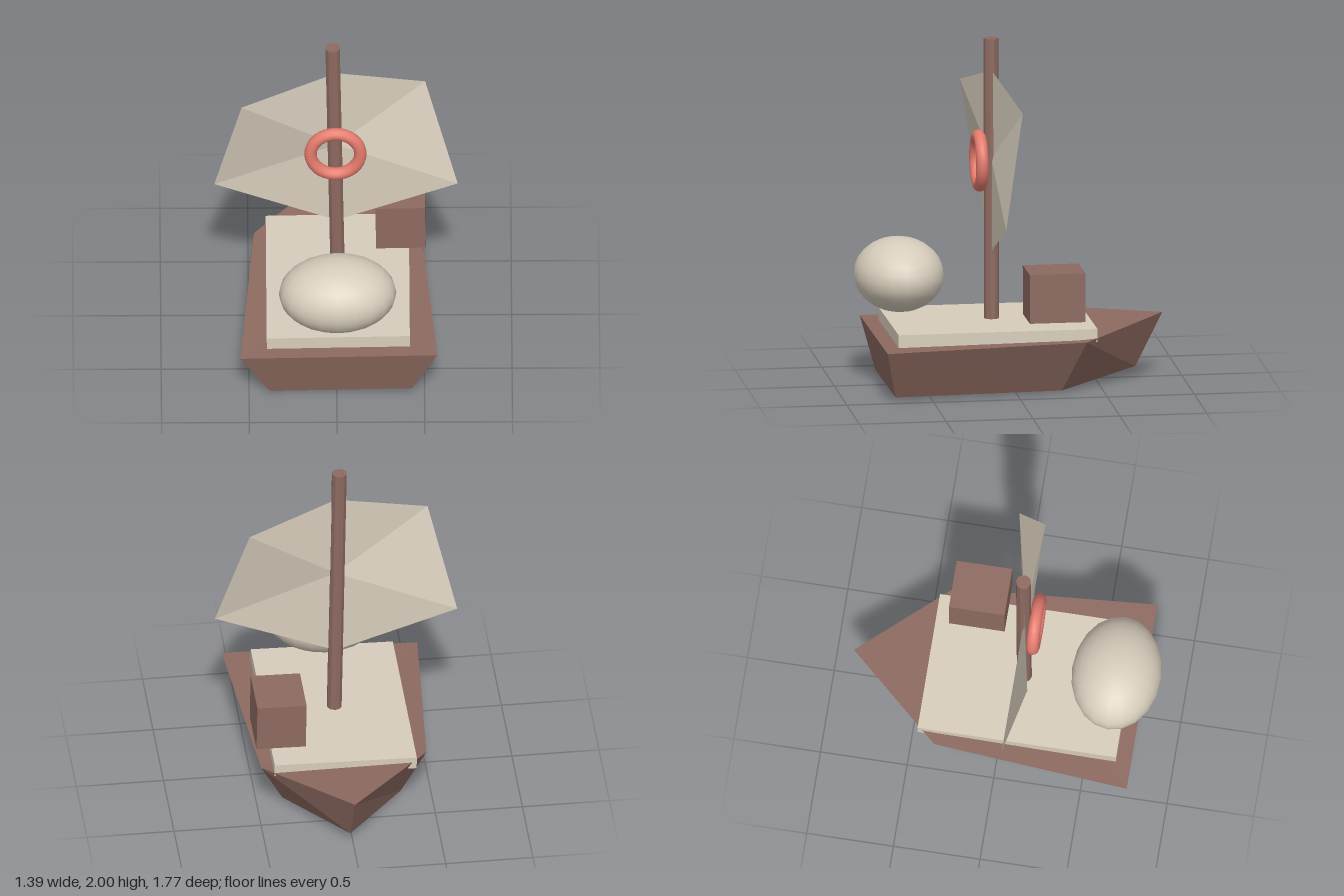
import * as THREE from 'three';

const brown = new THREE.MeshStandardMaterial({ name: 'brown wood', color: 0x8d6a60 });
const cream = new THREE.MeshStandardMaterial({ name: 'cream', color: 0xd7cdbc });
const canvas = new THREE.MeshStandardMaterial({ name: 'cream canvas', color: 0xd7cdbc, side: THREE.DoubleSide });
const coral = new THREE.MeshStandardMaterial({ name: 'coral', color: 0xe57b6e });

const ROLL = 0.018; // the whole boat leans slightly

function part(group, name, geometry, material, x = 0, y = 0, z = 0, roll = 0) {
  const mesh = new THREE.Mesh(geometry, material);
  mesh.name = name;
  mesh.position.set(x, y, z);
  mesh.rotation.z = roll;
  group.add(mesh);
  return mesh;
}

// Triangles from a list of corner points, with flat normals
function facets(triangles) {
  const g = new THREE.BufferGeometry();
  g.setAttribute('position', new THREE.Float32BufferAttribute(triangles.flat(2), 3));
  g.computeVertexNormals();
  return g;
}

// Hull: a five-sided rim joined to a smaller five-sided keel
function hullGeometry() {
  const rim = [[-0.55, 0.285, 0.775], [0.573, 0.307, 0.775], [0.485, 0.318, -0.385], [0.007, 0.375, -0.887], [-0.467, 0.322, -0.35]];
  const keel = [[-0.38, 0.003, 0.71], [0.43, 0.02, 0.71], [0.35, 0.012, -0.26], [0.015, 0.065, -0.73], [-0.33, 0, -0.26]];
  const tris = [];
  for (let i = 0; i < 5; i++) {
    const j = (i + 1) % 5;
    tris.push([rim[i], keel[i], keel[j]], [rim[i], keel[j], rim[j]]);
  }
  for (const [a, b, c] of [[0, 1, 2], [0, 2, 4], [4, 2, 3]]) {
    tris.push([rim[a], rim[b], rim[c]], [keel[c], keel[b], keel[a]]);
  }
  return facets(tris);
}

// Sail: a slightly twisted six-sided sheet fanned around its middle
function sailGeometry() {
  const centre = [0, 1.3, 0.096];
  const edge = [[0, 1.815, 0.095], [-0.54, 1.65, 0.2], [-0.695, 1.005, 0.077], [0, 0.76, 0.097], [0.692, 1.03, 0.11], [0.507, 1.672, -0.012]];
  return facets(edge.map((p, i) => [centre, p, edge[(i + 1) % edge.length]]));
}

export function createModel() {
  const model = new THREE.Group();
  model.name = 'sailboat';

  part(model, 'hull', hullGeometry(), brown);
  part(model, 'deck', new THREE.BoxGeometry(0.816, 0.074, 1.145), cream, 0.009, 0.335, 0.117, ROLL);

  // Faceted mast
  const mast = new THREE.CylinderGeometry(0.043, 0.043, 1.66, 10).toNonIndexed();
  mast.computeVertexNormals();
  part(model, 'mast', mast, brown, -0.006, 1.17, 0.096, ROLL);

  part(model, 'sail', sailGeometry(), canvas);
  part(model, 'lifeRing', new THREE.TorusGeometry(0.142, 0.036, 12, 32), coral, -0.005, 1.29, 0.167);
  part(model, 'crate', new THREE.BoxGeometry(0.283, 0.284, 0.321), brown, 0.367, 0.583, -0.213, ROLL);

  // Rounded body over the stern
  const body = part(model, 'body', new THREE.SphereGeometry(1, 20, 14), cream, 0.005, 0.645, 0.63, ROLL);
  body.scale.set(0.335, 0.212, 0.257);

  return model;
}
